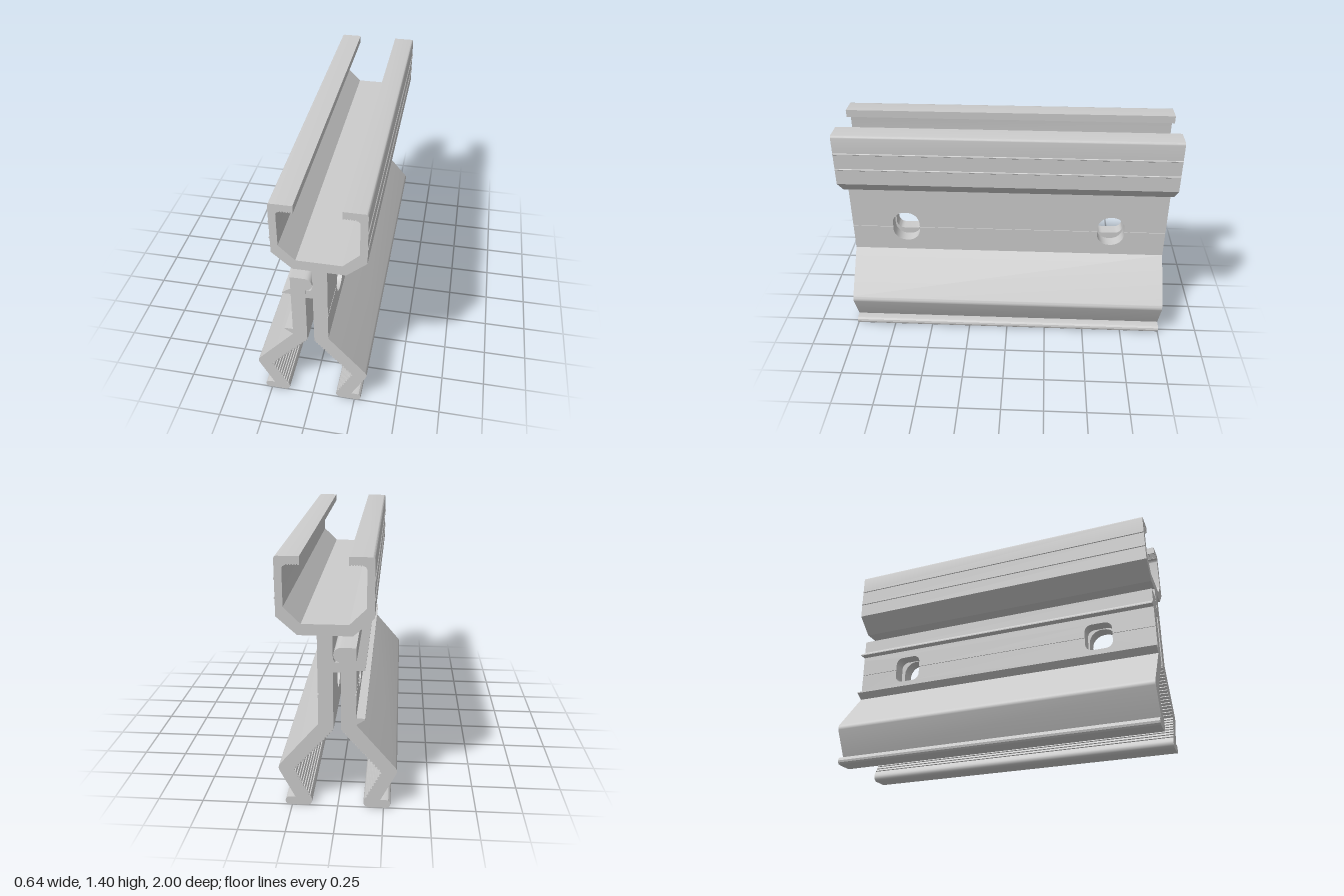
import * as THREE from 'three';
import { toCreasedNormals } from 'three/addons/utils/BufferGeometryUtils.js';

const material = new THREE.MeshStandardMaterial({ color: 0xcccccc });
const LENGTH = 2;
const toShape = (pts) => new THREE.Shape(pts.map(([x, y]) => new THREE.Vector2(x, y)));

function addMesh(parent, name, geometry) {
  const mesh = new THREE.Mesh(toCreasedNormals(geometry, 0.5), material);
  mesh.name = name;
  parent.add(mesh);
}

// Profile in x, y drawn out along the whole rail
function addProfile(parent, name, pts) {
  const g = new THREE.ExtrudeGeometry(toShape(pts), { depth: LENGTH, bevelEnabled: false });
  addMesh(parent, name, g.translate(0, 0, -LENGTH / 2));
}

// Points on an arc, angles in degrees
function arc(cx, cy, r, from, to, n = 6) {
  return Array.from({ length: n + 1 }, (_, i) => {
    const a = THREE.MathUtils.degToRad(from + ((to - from) * i) / n);
    return [cx + r * Math.cos(a), cy + r * Math.sin(a)];
  });
}

// Serrated line from a to b; teeth are cut to the right of travel
function teeth(a, b, n, depth) {
  const dx = b[0] - a[0], dy = b[1] - a[1], len = Math.hypot(dx, dy);
  const at = (t, d) => [a[0] + dx * t + (dy / len) * d, a[1] + dy * t - (dx / len) * d];
  const pts = [];
  for (let i = 0; i < n; i++) {
    pts.push(at(i / n, 0), at((i + 0.5) / n, 0), at((i + 0.6) / n, depth), at((i + 0.95) / n, depth));
  }
  return [...pts, b];
}

// Bent leg with a serrated inside and a rounded foot; side = 1 left, -1 right
function legPoints(side, fin = []) {
  return [
    [0.1, 0.545], ...fin, [0.1, 0.5],
    ...arc(0.282, 0.23, 0.037, 40, -30),
    [0.232, 0.052],
    ...arc(0.263, 0.0275, 0.0245, 90, -90),
    ...arc(0.17, 0.033, 0.03, -90, -200),
    ...teeth([0.145, 0.055], [0.232, 0.222], 9, 0.006),
    ...teeth([0.232, 0.222], [0.02, 0.465], 16, 0.006),
    [0.02, 0.545],
  ].map(([x, y]) => [x * side, y]);
}

// Web plate with two bolt holes and a marking groove on its outer face
function addWeb(parent, name, side, { w, h, r }) {
  const y0 = 0.545, y1 = 0.785, yc = 0.672, groove = 0.005, depth = 0.005;
  const centres = [-0.655, 0.655];
  const half = (c, s) => [
    ...arc(c - w + r, h - r, r, 180, 90, 8),
    ...arc(c + w - r, h - r, r, 90, 0, 8),
  ].map(([x, y]) => [x, yc + s * y]);
  const slab = (shape, xa, xb, label) => {
    const g = new THREE.ExtrudeGeometry(shape, { depth: xb - xa, bevelEnabled: false });
    addMesh(parent, label, g.rotateY(Math.PI / 2).translate(xa, 0, 0));
  };
  const outer = 0.1 - depth;
  const span = (a, b) => (side > 0 ? [a, b] : [-b, -a]);

  const core = toShape([[-1, y0], [1, y0], [1, y1], [-1, y1]]);
  for (const c of centres) {
    core.holes.push(new THREE.Path(toShape([...half(c, 1), ...half(c, -1).reverse()]).getPoints()));
  }
  slab(core, ...span(0.02, outer), name);

  // Outer skin above and below the groove
  for (const s of [1, -1]) {
    const yIn = yc + s * groove, yOut = s > 0 ? y1 : y0;
    const bites = centres.flatMap((c) => [[c - w, yIn], ...half(c, s), [c + w, yIn]]);
    slab(toShape([[-1, yIn], ...bites, [1, yIn], [1, yOut], [-1, yOut]]),
      ...span(outer, 0.1), name + (s > 0 ? 'UpperSkin' : 'LowerSkin'));
  }
}

// Half of the open channel, from the web outward and back to the floor centre
function channelHalf() {
  const ridge = (y) => [[0.249, y - 0.006], [0.253, y - 0.003], [0.253, y + 0.003], [0.249, y + 0.006]];
  return [
    [0.141, 0.993], [0.249, 1.09], ...ridge(1.185), ...ridge(1.285),
    ...arc(0.235, 1.386, 0.014, 0, 90, 4),
    [0.122, 1.4], [0.122, 1.355],
    ...teeth([0.124, 1.355], [0.19, 1.355], 5, -0.005),
    ...arc(0.192, 1.336, 0.018, 90, 0, 4),
    [0.21, 1.14], [0.122, 1.053],
  ];
}

export function createModel() {
  const model = new THREE.Group();
  model.name = 'clampRail';

  // Fixed jaw: channel, web, hook tab and leg
  const fixed = new THREE.Group();
  fixed.name = 'fixedJaw';
  const cx = 0.058;
  const half = channelHalf();
  addProfile(fixed, 'channelAndUpperWeb', [
    [0.1, 0.785], [0.1, 0.993],
    ...half.map(([x, y]) => [cx + x, y]),
    ...half.map(([x, y]) => [cx - x, y]).reverse(),
    [0.02, 0.993], [0.02, 0.925],
    [0.021, 0.89], [0.018, 0.865], [0.008, 0.85],
    [-0.019, 0.85], [-0.019, 0.795], [0.02, 0.795], [0.02, 0.785],
  ]);
  addWeb(fixed, 'fixedWeb', 1, { w: 0.086, h: 0.102, r: 0.08 });
  addProfile(fixed, 'fixedLeg', legPoints(1));

  // Loose jaw: rounded head, web with finger fins and leg
  const loose = new THREE.Group();
  loose.name = 'looseJaw';
  addProfile(loose, 'looseHead', [
    [-0.1, 0.785], [-0.1, 0.808], [-0.146, 0.808], [-0.146, 0.815], [-0.1, 0.848],
    [-0.1, 0.93], ...arc(-0.022, 0.89, 0.04, 90, -80, 10),
    [-0.02, 0.85], [-0.02, 0.785],
  ]);
  addWeb(loose, 'looseWeb', -1, { w: 0.086, h: 0.086, r: 0.045 });
  addProfile(loose, 'looseLeg', legPoints(-1, [[0.1, 0.538], [0.147, 0.538], [0.147, 0.531]]));

  model.add(fixed, loose);
  return model;
}
